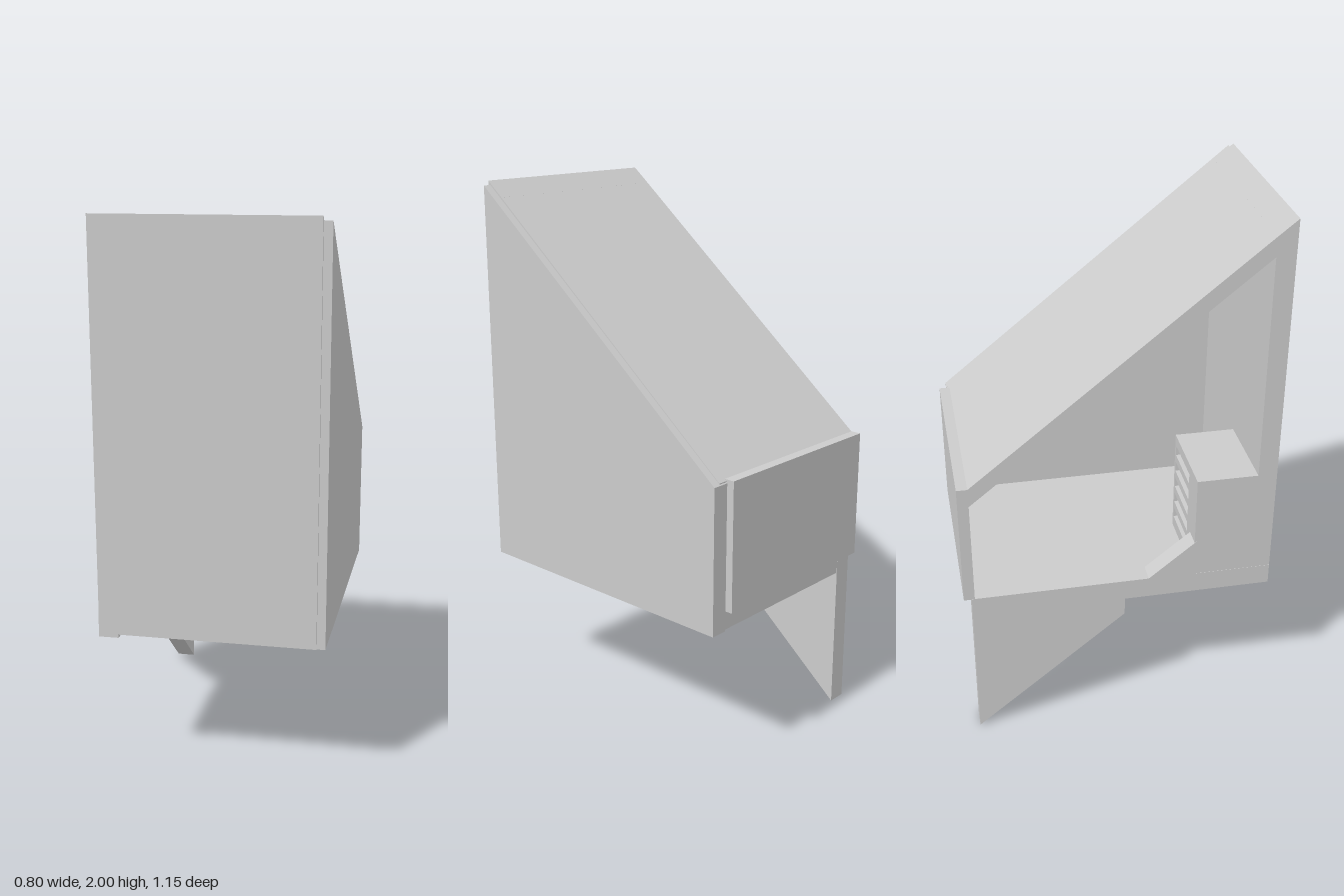
import * as THREE from 'three';

const grey = new THREE.MeshStandardMaterial({ color: 0xcccccc, flatShading: true });

export function createModel() {
  const model = new THREE.Group();

  function add(name, geometry) {
    const mesh = new THREE.Mesh(geometry, grey);
    mesh.name = name;
    model.add(mesh);
    return mesh;
  }

  // Box given by its limits on each axis
  function block(name, x0, x1, y0, y1, z0, z1) {
    const g = new THREE.BoxGeometry(x1 - x0, y1 - y0, z1 - z0);
    g.translate((x0 + x1) / 2, (y0 + y1) / 2, (z0 + z1) / 2);
    return add(name, g);
  }

  // Side profile of [z, y] points, extruded across x
  function profile(name, x0, x1, points) {
    const shape = new THREE.Shape(points.map(([z, y]) => new THREE.Vector2(z, y)));
    const g = new THREE.ExtrudeGeometry(shape, { depth: x1 - x0, bevelEnabled: false });
    g.rotateY(-Math.PI / 2);
    g.translate(x1, 0, 0);
    return add(name, g);
  }

  // Closed side wall
  profile('leftSideWall', 0.335, 0.4, [[-0.549, 0.545], [0.565, 0.55], [0.565, 1.985], [-0.549, 1.085]]);

  // Front wall and sloping top
  profile('frontWall', -0.4, 0.37, [[0.505, 0.555], [0.575, 0.555], [0.575, 2], [0.505, 1.944]]);
  profile('slopingTop', -0.4, 0.37, [[-0.545, 1.02], [0.51, 1.877], [0.51, 1.948], [-0.545, 1.092]]);

  // Floor and back wall
  block('floor', -0.399, 0.37, 0.55, 0.62, -0.547, 0.57);
  block('backWall', -0.4, 0.335, 0.62, 1.098, -0.577, -0.537);

  // Open-side panel with its pointed lower fin and small sloping tab
  profile('sideFin', -0.401, -0.33, [
    [-0.548, 0], [0.02, 0.47], [0.02, 0.54], [0.575, 0.54],
    [0.575, 0.62], [0.29, 0.62], [0.29, 0.77], [0.11, 0.622], [-0.548, 0.622],
  ]);

  // Inner housing behind the front wall
  block('housing', -0.4, -0.07, 0.62, 1.03, 0.31, 0.51);

  // Slotted plate on the back of the housing
  const plate = new THREE.Shape();
  plate.moveTo(-0.4, 0.62).lineTo(-0.07, 0.62).lineTo(-0.07, 1.03).lineTo(-0.4, 1.03).closePath();
  for (let i = 0; i < 5; i++) {
    const y = 0.665 + i * 0.071;
    const slot = new THREE.Path();
    slot.moveTo(-0.285, y).lineTo(-0.285, y + 0.04).lineTo(-0.085, y + 0.04).lineTo(-0.085, y).closePath();
    plate.holes.push(slot);
  }
  const plateGeometry = new THREE.ExtrudeGeometry(plate, { depth: 0.03, bevelEnabled: false });
  plateGeometry.translate(0, 0, 0.28);
  add('ventPlate', plateGeometry);

  return model;
}
